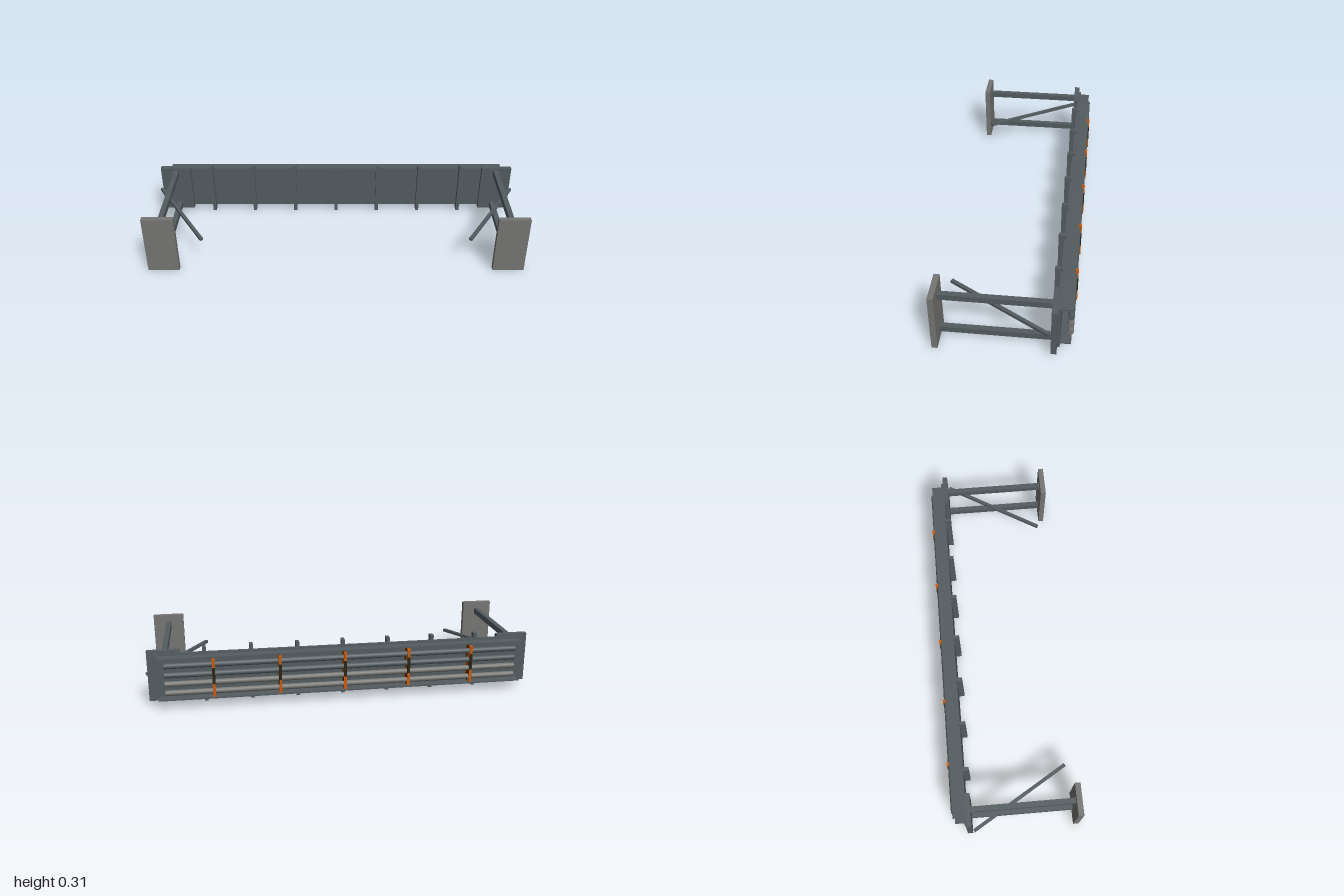
import * as THREE from 'three';

export function createModel() {
  const model = new THREE.Group();
  model.name = 'barrier';

  const material = (name, color) => {
    const m = new THREE.MeshStandardMaterial({ color });
    m.name = name;
    return m;
  };
  const slate = material('slate steel', 0x535c60);
  const grey = material('grey metal', 0x757573);
  const orange = material('warning orange', 0xcc5c0c);
  const dark = material('warning dark', 0x2b2414);

  const add = (name, geometry, mat, x = 0, y = 0, z = 0) => {
    const mesh = new THREE.Mesh(geometry, mat);
    mesh.name = name;
    mesh.position.set(x, y, z);
    model.add(mesh);
    return mesh;
  };
  // Box given by its lower and upper limits on each axis
  const box = (name, mat, [x0, x1], [y0, y1], [z0, z1]) =>
    add(name, new THREE.BoxGeometry(x1 - x0, y1 - y0, z1 - z0), mat,
      (x0 + x1) / 2, (y0 + y1) / 2, (z0 + z1) / 2);

  // Long wall panel with a shelf along its top and bottom at the back
  box('wallPanel', slate, [-0.95, 0.95], [0.038, 0.278], [-0.262, -0.246]);
  box('upperShelf', slate, [-0.935, 0.935], [0.262, 0.268], [-0.313, -0.26]);
  box('lowerShelf', slate, [-0.935, 0.935], [0.047, 0.053], [-0.313, -0.26]);

  // Upright ribs across the front
  for (let i = -3; i <= 3; i++) {
    const x = i * 0.234;
    box('rib', slate, [x - 0.009, x + 0.009], [0.015, 0.303], [-0.254, -0.218]);
  }

  // Horizontal tubes across the back, the lower pair in bare metal
  [0.229, 0.181, 0.135, 0.088].forEach((y, i) => {
    const tube = new THREE.CylinderGeometry(0.014, 0.014, 1.8, 20).rotateZ(Math.PI / 2);
    add('tube', tube, i < 2 ? slate : grey, 0, y, -0.308);
  });

  // Striped tube holders: each outline is (distance behind centre, height)
  const stripes = [
    [orange, [[0.262, 0.205], [0.277, 0.256], [0.262, 0.256]]],
    [dark, [[0.262, 0.15], [0.3, 0.256], [0.277, 0.256], [0.262, 0.205]]],
    [orange, [[0.262, 0.062], [0.27, 0.062], [0.327, 0.215], [0.327, 0.256], [0.3, 0.256], [0.262, 0.15]]],
    [dark, [[0.27, 0.062], [0.302, 0.062], [0.327, 0.13], [0.327, 0.215]]],
    [orange, [[0.302, 0.062], [0.327, 0.062], [0.327, 0.13]]],
  ];
  for (const [mat, points] of stripes) {
    const shape = new THREE.Shape(points.map(([u, y]) => new THREE.Vector2(u, y)));
    const geometry = new THREE.ExtrudeGeometry(shape, { depth: 0.014, bevelEnabled: false });
    geometry.translate(0, 0, -0.007).rotateY(Math.PI / 2);
    for (let i = -2; i <= 2; i++) add('tubeHolderStripe', geometry, mat, i * 0.33);
  }

  // End plates, support arms, feet and braces on both sides
  for (const s of [-1, 1]) {
    const span = (a, b) => (s > 0 ? [a, b] : [-b, -a]);
    box('endPlate', slate, span(0.82, 0.985), [0.028, 0.29], [-0.25, -0.223]);
    box('foot', grey, span(0.818, 0.98), [0, 0.315], [0.3, 0.328]);
    for (const y of [0.0555, 0.2625]) {
      box('supportArm', slate, span(0.885, 0.912), [y - 0.0155, y + 0.0155], [-0.224, 0.302]);
    }
    // Diagonal brace running inward toward the front
    const dx = -0.294 * s, dz = 0.49;
    const brace = add('brace', new THREE.BoxGeometry(0.017, 0.015, Math.hypot(dx, dz)),
      slate, s * 0.843, 0.1595, 0.03);
    brace.rotation.y = Math.atan2(dx, dz);
  }

  return model;
}
